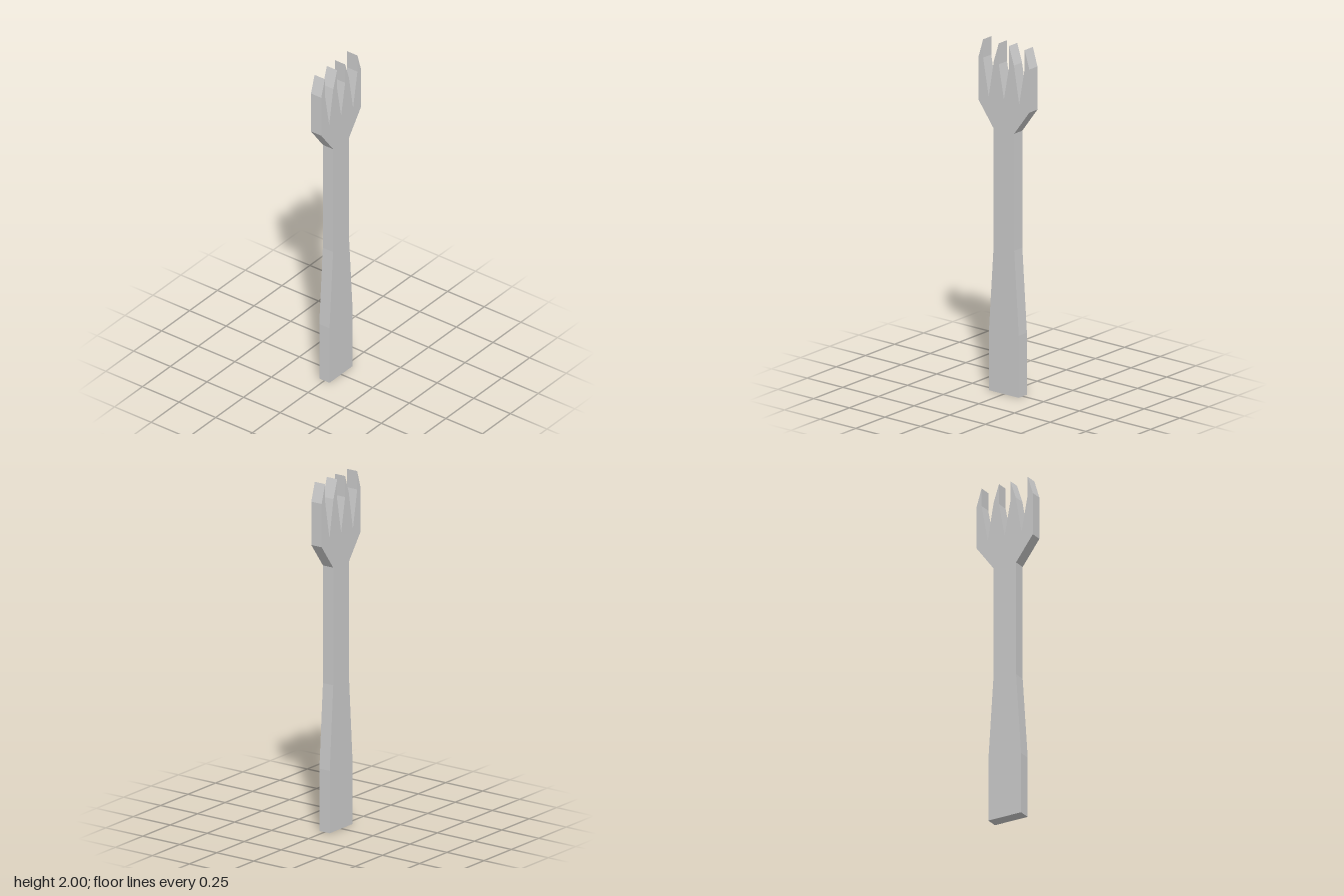
import * as THREE from 'three';

export function createModel() {
  const group = new THREE.Group();
  const thickness = 0.07;

  // One half of the outline, from the handle end up to the centre notch
  const half = [
    [0.104, 0], [0.104, 0.355], [0.072, 0.835], [0.072, 1.505], // handle and neck
    [0.178, 1.648], [0.178, 1.895], [0.146, 2], [0.146, 1.895], // shoulder and outer tine
    [0.107, 1.68], [0.07, 1.895], [0.036, 2], [0.036, 1.88], // side notch and inner tine
  ];
  const mirrored = half.map(([w, y]) => [-w, y]).reverse();
  const outline = [...half, [0, 1.685], ...mirrored].map(([w, y]) => new THREE.Vector2(w, y));

  // Flat plate, turned so that its width runs along z
  const geometry = new THREE.ExtrudeGeometry(new THREE.Shape(outline), {
    depth: thickness, bevelEnabled: false,
  });
  geometry.translate(0, 0, -thickness / 2);
  geometry.rotateY(Math.PI / 2);

  const fork = new THREE.Mesh(
    geometry,
    new THREE.MeshStandardMaterial({ color: 0xcccccc, flatShading: true }),
  );
  fork.name = 'fork';
  group.add(fork);
  group.name = 'flatFork';
  return group;
}
